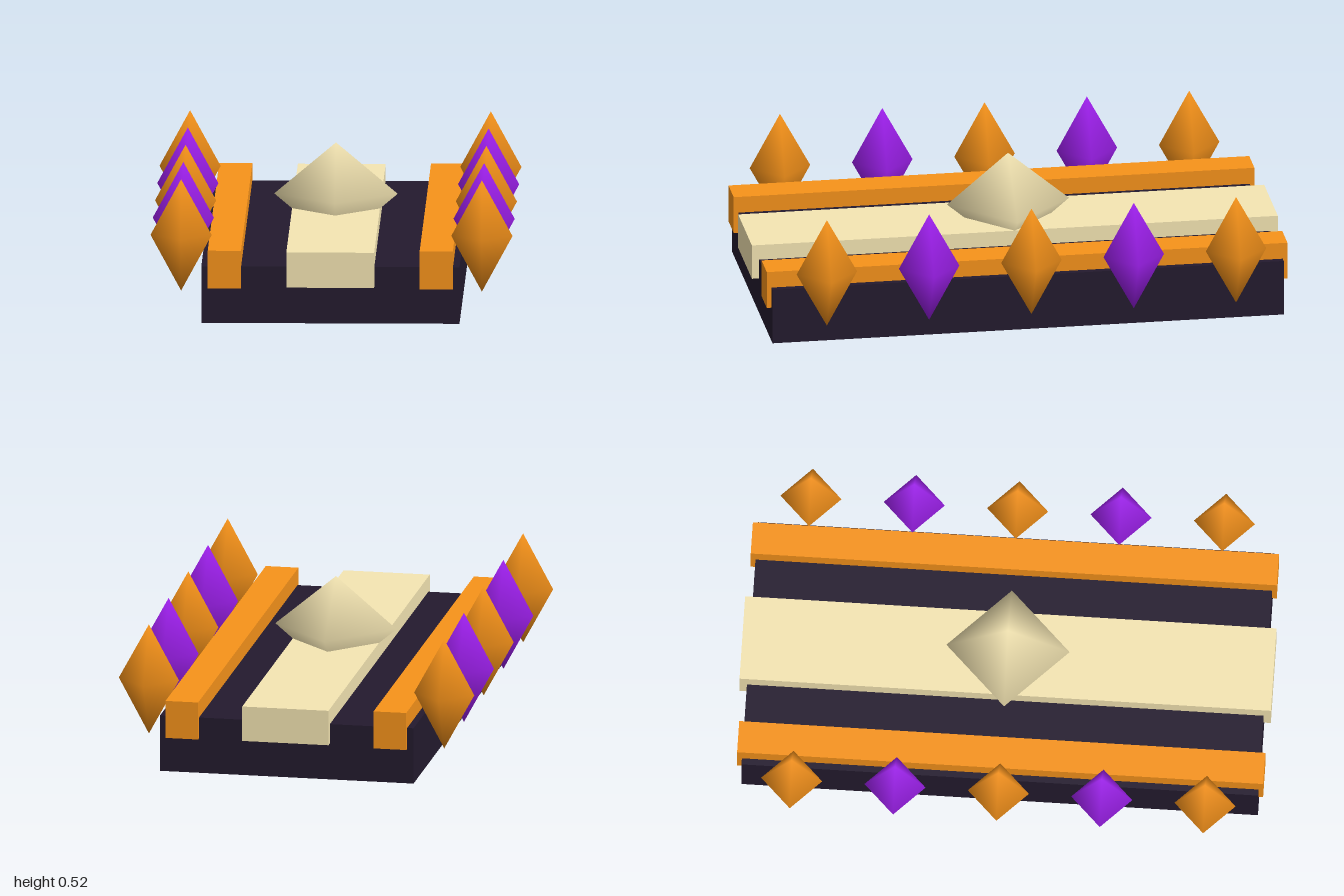
import * as THREE from 'three';

const mat = (color) => new THREE.MeshStandardMaterial({ color });

export function createModel() {
  const model = new THREE.Group();
  const dark = mat(0x231a2e);
  const orange = mat(0xf7931a);
  const purple = mat(0xa020f0);
  const cream = mat(0xf5e6b3);

  const slab = (name, w, y0, y1, d, x, material) => {
    const mesh = new THREE.Mesh(new THREE.BoxGeometry(w, y1 - y0, d), material);
    mesh.name = name;
    mesh.position.set(x, (y0 + y1) / 2, 0);
    model.add(mesh);
  };

  // smooth-shaded four-sided bipyramid
  const gem = (name, r, halfHeight, x, y, z, material) => {
    const geometry = new THREE.SphereGeometry(1, 4, 2).scale(r, halfHeight, r);
    const mesh = new THREE.Mesh(geometry, material);
    mesh.name = name;
    mesh.position.set(x, y, z);
    model.add(mesh);
  };

  // deck and raised centre strip
  slab('base', 0.97, 0, 0.215, 1.944, 0, dark);
  slab('centreStrip', 0.33, 0.14, 0.274, 2, 0, cream);
  gem('centreGem', 0.232, 0.195, 0, 0.33, 0, cream);

  // side rails, each with a row of alternating crystals
  for (const side of [1, -1]) {
    const label = side > 0 ? 'left' : 'right';
    slab(label + 'Rail', 0.125, 0.134, 0.278, 1.98, side * 0.398, orange);
    for (let i = -2; i <= 2; i++) {
      gem(label + 'Crystal', 0.115, 0.212, side * 0.565, 0.302, i * 0.389, i % 2 ? purple : orange);
    }
  }
  return model;
}
